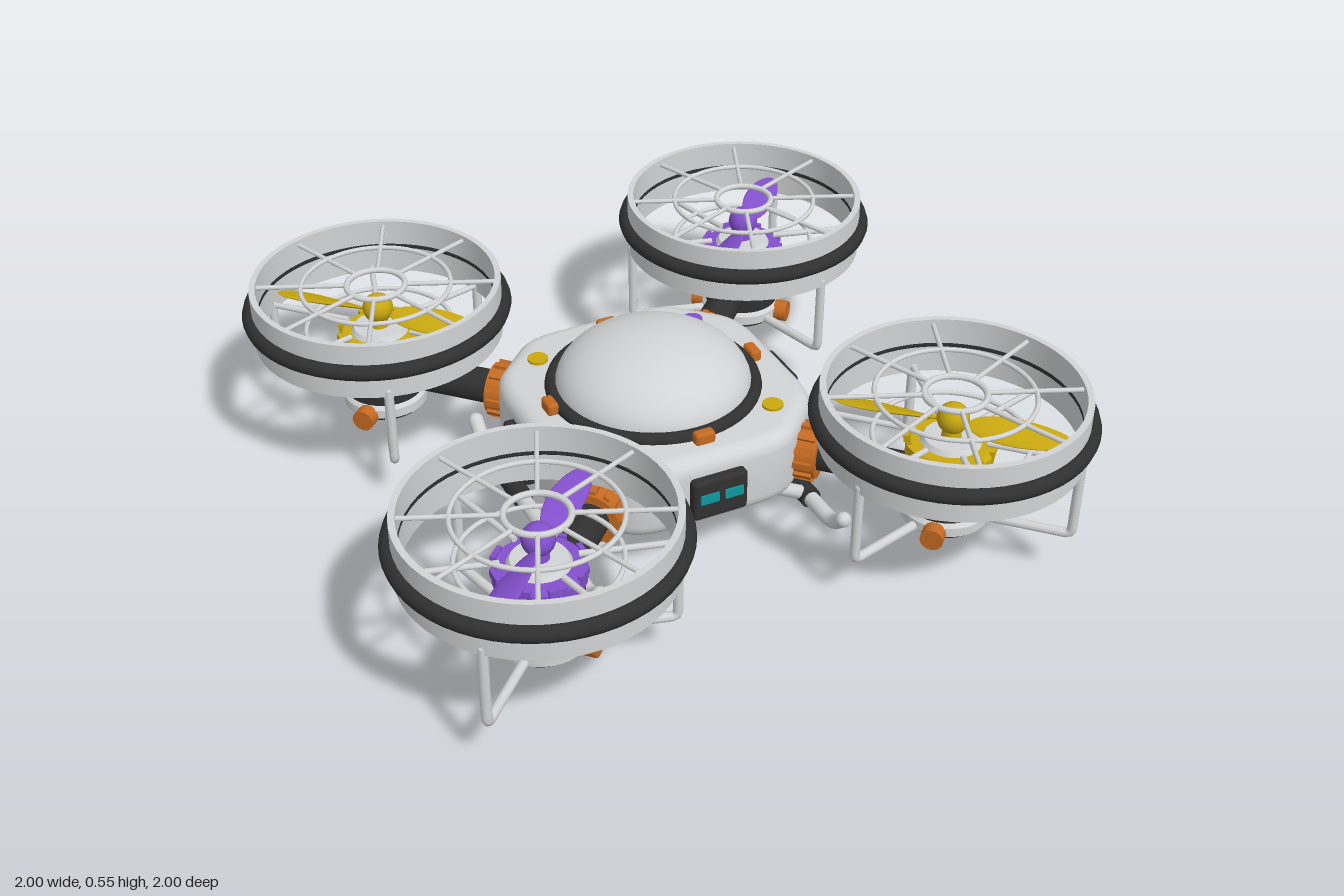
import * as THREE from 'three';
import { toCreasedNormals } from 'three/addons/utils/BufferGeometryUtils.js';
import { RoundedBoxGeometry } from 'three/addons/geometries/RoundedBoxGeometry.js';

const mat = (name, color) => Object.assign(new THREE.MeshStandardMaterial({ color }), { name });
const V = (x, y, z) => new THREE.Vector3(x, y, z);

export function createModel() {
  const shell = mat('light grey shell', 0xd2d3d4);
  const black = mat('black rubber', 0x303030);
  const orange = mat('orange fittings', 0xc46a22);
  const teal = mat('teal panels', 0x0f98a0);
  const yellow = mat('yellow rotor', 0xc9a80f);
  const purple = mat('purple rotor', 0x8350cc);

  const root = new THREE.Group();
  root.name = 'quadcopter';

  const add = (parent, name, geo, material, x = 0, y = 0, z = 0) => {
    const m = new THREE.Mesh(geo, material);
    m.name = name;
    m.position.set(x, y, z);
    parent.add(m);
    return m;
  };
  // straight rod between two points
  const rod = (parent, name, a, b, r, material, seg = 10) => {
    const m = add(parent, name, new THREE.CylinderGeometry(r, r, a.distanceTo(b), seg), material);
    m.position.copy(a).lerp(b, 0.5);
    m.quaternion.setFromUnitVectors(V(0, 1, 0), b.clone().sub(a).normalize());
    return m;
  };
  // horizontal ring
  const ring = (parent, name, r, tube, y, material) => {
    const m = add(parent, name, new THREE.TorusGeometry(r, tube, 10, 56), material, 0, y, 0);
    m.rotation.x = Math.PI / 2;
    return m;
  };
  // tube through points with rounded bends
  const bentTube = (parent, name, pts, r, bend, material) => {
    const path = new THREE.CurvePath();
    let last = pts[0];
    for (let i = 1; i < pts.length - 1; i++) {
      const p = pts[i];
      const a = p.clone().add(pts[i - 1].clone().sub(p).setLength(bend));
      const b = p.clone().add(pts[i + 1].clone().sub(p).setLength(bend));
      path.add(new THREE.LineCurve3(last, a));
      path.add(new THREE.QuadraticBezierCurve3(a, p, b));
      last = b;
    }
    path.add(new THREE.LineCurve3(last, pts[pts.length - 1]));
    add(parent, name, new THREE.TubeGeometry(path, 40, r, 10), material);
    for (const p of [pts[0], pts[pts.length - 1]])
      add(parent, name + 'End', new THREE.SphereGeometry(r, 10, 8), material, p.x, p.y, p.z);
  };
  const lathe = (pts, seg = 56) =>
    toCreasedNormals(new THREE.LatheGeometry(pts.map(p => new THREE.Vector2(...p)), seg), 0.6);

  // ---- body: chamfered square with rounded edges
  const e = 0.355, f = 0.205;
  const corners = [[e, -f], [e, f], [f, e], [-f, e], [-e, f], [-e, -f], [-f, -e], [f, -e]]
    .map(c => new THREE.Vector2(...c));
  const outline = new THREE.Shape();
  corners.forEach((c, i) => {
    const a = c.clone().lerp(corners[(i + 7) % 8], 0.2);
    const b = c.clone().lerp(corners[(i + 1) % 8], 0.2);
    if (i) outline.lineTo(a.x, a.y); else outline.moveTo(a.x, a.y);
    outline.quadraticCurveTo(c.x, c.y, b.x, b.y);
  });
  outline.closePath();
  const bodyGeo = new THREE.ExtrudeGeometry(outline, {
    depth: 0.135, bevelEnabled: true, bevelSize: 0.045, bevelThickness: 0.045, bevelSegments: 5, curveSegments: 5,
  });
  bodyGeo.rotateX(-Math.PI / 2);
  add(root, 'body', toCreasedNormals(bodyGeo, 0.6), shell, 0, 0.207, 0);

  // ---- dome with seal ring and clips
  const dome = add(root, 'dome', new THREE.SphereGeometry(0.28, 40, 16, 0, Math.PI * 2, 0, Math.PI / 2), shell, 0, 0.39, 0);
  dome.scale.y = 0.16 / 0.28;
  ring(root, 'domeSeal', 0.288, 0.021, 0.39, black);
  for (let i = 0; i < 4; i++) {
    const a = i * Math.PI / 2;
    const clip = add(root, 'domeClip', new RoundedBoxGeometry(0.06, 0.04, 0.034, 2, 0.01), orange,
      Math.sin(a) * 0.318, 0.4, Math.cos(a) * 0.318);
    clip.rotation.y = a;
  }

  // ---- front sensor panel
  add(root, 'frontPanel', new RoundedBoxGeometry(0.165, 0.125, 0.04, 2, 0.012), black, 0, 0.272, 0.41);
  for (const s of [-1, 1])
    add(root, 'frontEye', new THREE.BoxGeometry(0.055, 0.028, 0.008), teal, s * 0.037, 0.28, 0.432);

  // ---- side vent panels
  for (const s of [-1, 1]) {
    add(root, 'sidePanel', new RoundedBoxGeometry(0.04, 0.125, 0.165, 2, 0.012), black, s * 0.412, 0.272, 0);
    for (const [z, y, r] of [[-0.05, 0.305, 0.014], [0, 0.295, 0.009], [0.05, 0.305, 0.014],
      [-0.03, 0.265, 0.007], [0, 0.265, 0.007], [0.03, 0.265, 0.007],
      [-0.03, 0.24, 0.007], [0, 0.24, 0.007], [0.03, 0.24, 0.007]]) {
      const b = add(root, 'sideButton', new THREE.CylinderGeometry(r, r, 0.008, 12), black, s * 0.434, y, z);
      b.rotation.z = Math.PI / 2;
    }
  }

  // ---- rear hatch
  add(root, 'rearHatch', new RoundedBoxGeometry(0.19, 0.15, 0.045, 2, 0.012), teal, 0, 0.255, -0.412);
  add(root, 'rearLatch', new RoundedBoxGeometry(0.07, 0.03, 0.025, 2, 0.008), orange, 0, 0.262, -0.438);

  // ---- landing skids
  for (const s of [-1, 1]) {
    const x = s * 0.378, y = 0.037;
    bentTube(root, 'skid', [V(x, 0.085, 0.455), V(x, y, 0.4), V(x, y, -0.4), V(x, 0.085, -0.455)], 0.023, 0.03, shell);
    for (const t of [-1, 1]) {
      rod(root, 'skidGrip', V(x, y, t * 0.085), V(x, y, t * 0.275), 0.031, black, 18);
      const lx = s * 0.255, z = t * 0.245;
      bentTube(root, 'skidLeg', [V(lx, 0.18, z), V(lx, 0.1, z), V(x, y, z)], 0.021, 0.025, shell);
      rod(root, 'legSocket', V(lx, 0.105, z), V(lx, 0.138, z), 0.036, shell, 18);
      rod(root, 'legClamp', V(lx, 0.136, z), V(lx, 0.172, z), 0.042, orange, 18);
    }
  }

  // ---- rotor units; local +x points away from the body
  const polar = (r, a, y) => V(Math.cos(a) * r, y, Math.sin(a) * r);
  const ductGeo = lathe([[0.365, 0.387], [0.365, 0.558], [0.347, 0.558], [0.347, 0.387], [0.365, 0.387]]);
  const motorBase = lathe([[0.105, 0.15], [0.125, 0.15], [0.125, 0.178], [0.11, 0.195]], 32);
  const capGeo = lathe([[0.112, 0.34], [0.122, 0.34], [0.122, 0.375], [0.11, 0.388], [0, 0.388]], 32);

  // twisted, tapered propeller blade
  const bladeGeo = new THREE.SphereGeometry(1, 24, 14);
  bladeGeo.rotateZ(-Math.PI / 2);
  const bp = bladeGeo.attributes.position;
  for (let i = 0; i < bp.count; i++) {
    const t = bp.getX(i), py = bp.getY(i) * 0.008, pz = bp.getZ(i) * 0.046;
    const tw = 0.38 - 0.2 * t;
    bp.setXYZ(i, 0.185 + t * 0.145, py * Math.cos(tw) - pz * Math.sin(tw), py * Math.sin(tw) + pz * Math.cos(tw));
  }
  bladeGeo.computeVertexNormals();

  for (const sx of [-1, 1]) for (const sz of [-1, 1]) {
    const paint = sx === sz ? yellow : purple;
    const unit = new THREE.Group();
    unit.name = 'rotorUnit';
    unit.position.set(sx * 0.607, 0, sz * 0.607);
    unit.rotation.y = -Math.atan2(sz, sx);
    root.add(unit);

    // duct and bumper
    add(unit, 'duct', ductGeo, shell);
    ring(unit, 'bumper', 0.369, 0.024, 0.474, black);

    // guard grilles
    for (let i = 0; i < 8; i++) {
      const a = (i + 0.5) * Math.PI / 4;
      rod(unit, 'topSpoke', polar(0.085, a, 0.54), polar(0.352, a, 0.54), 0.007, shell, 8);
    }
    ring(unit, 'topInnerRing', 0.085, 0.009, 0.54, shell);
    ring(unit, 'topMiddleRing', 0.218, 0.007, 0.54, shell);
    for (let i = 0; i < 6; i++) {
      const a = i * Math.PI / 3;
      rod(unit, 'lowerSpoke', polar(0.1, a, 0.4), polar(0.352, a, 0.4), 0.009, shell, 8);
    }
    ring(unit, 'lowerRing', 0.215, 0.007, 0.4, shell);

    // motor
    add(unit, 'motorCan', new THREE.CylinderGeometry(0.115, 0.115, 0.16, 32), black, 0, 0.265, 0);
    add(unit, 'motorFoot', new THREE.CylinderGeometry(0.112, 0.106, 0.06, 32), black, 0, 0.162, 0);
    add(unit, 'motorCollar', motorBase, shell);
    add(unit, 'motorCap', capGeo, paint);
    for (let i = 0; i < 8; i++) {
      const a = i * Math.PI / 4, p = polar(0.118, a, 0.38);
      add(unit, 'capTooth', new THREE.BoxGeometry(0.014, 0.022, 0.05), paint, p.x, p.y, p.z).rotation.y = -a;
    }
    add(unit, 'capPlate', new THREE.CylinderGeometry(0.075, 0.085, 0.016, 32), shell, 0, 0.395, 0);
    for (const s of [-1, 1])
      rod(unit, 'motorKnob', V(0, 0.158, s * 0.118), V(0, 0.158, s * 0.158), 0.033, orange, 16);

    // propeller
    add(unit, 'shaft', new THREE.CylinderGeometry(0.022, 0.03, 0.07, 16), paint, 0, 0.42, 0);
    add(unit, 'propHub', new THREE.SphereGeometry(0.045, 20, 14), paint, 0, 0.462, 0);
    for (const a of [0, Math.PI])
      add(unit, 'blade', bladeGeo, paint, 0, 0.45, 0).rotation.y = a;

    // struts from duct to motor foot
    for (let i = 0; i < 3; i++) {
      const a = i * Math.PI * 2 / 3;
      bentTube(unit, 'strut', [polar(0.355, a, 0.4), polar(0.355, a, 0.157), polar(0.11, a, 0.157)], 0.014, 0.02, shell);
    }

    // arm with ribbed collar
    rod(unit, 'arm', V(-0.46, 0.26, 0), V(-0.08, 0.26, 0), 0.051, black, 24);
    rod(unit, 'armCollar', V(-0.46, 0.26, 0), V(-0.36, 0.26, 0), 0.076, orange, 24);
    rod(unit, 'armCollarFlange', V(-0.46, 0.26, 0), V(-0.425, 0.26, 0), 0.087, orange, 24);
    for (let i = 0; i < 12; i++) {
      const a = i * Math.PI / 6;
      const rib = add(unit, 'collarRib', new THREE.BoxGeometry(0.065, 0.018, 0.018), orange,
        -0.4, 0.26 + Math.sin(a) * 0.076, Math.cos(a) * 0.076);
      rib.rotation.x = -a;
    }

    // coloured marker on the body top
    add(root, 'marker', new THREE.CylinderGeometry(0.03, 0.03, 0.01, 20), paint, sx * 0.25, 0.39, sz * 0.25);
  }
  return root;
}
